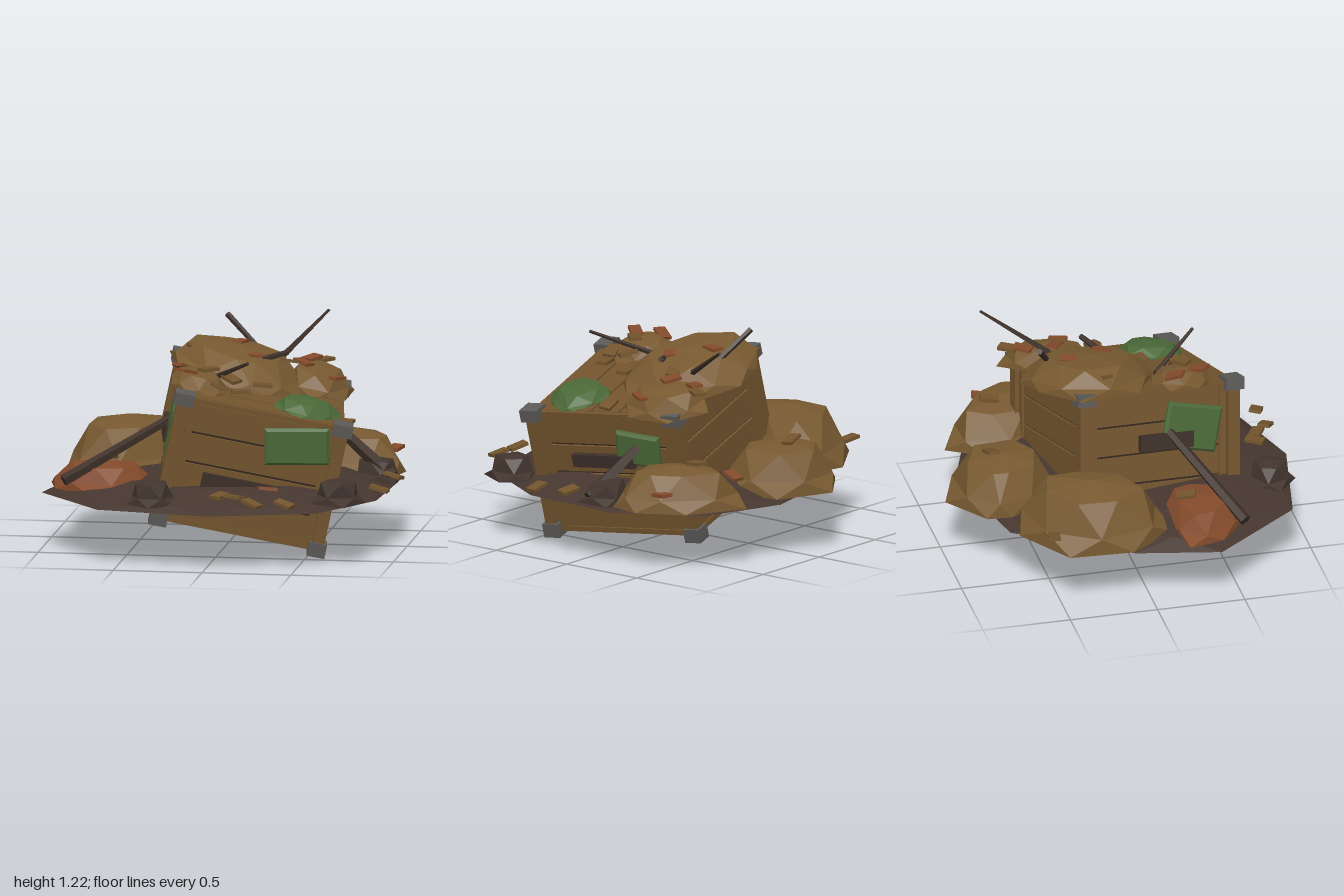
import * as THREE from 'three';

const mat = (name, color, side = THREE.FrontSide) => {
  const m = new THREE.MeshStandardMaterial({ color, flatShading: true, side });
  m.name = name;
  return m;
};

// Faceted open dome: outline in x, z shrunk ring by ring, odd rings shifted half a step
function domeGeometry(outline, rings, baseY, height) {
  const n = outline.length, pos = [], idx = [];
  const cx = outline.reduce((s, p) => s + p[0], 0) / n;
  const cz = outline.reduce((s, p) => s + p[1], 0) / n;
  rings.forEach(([s, t], r) => outline.forEach(([x, z], i) => {
    const [qx, qz] = outline[(i + r % 2) % n];
    const px = cx + ((x + qx) / 2 - cx) * s, pz = cz + ((z + qz) / 2 - cz) * s;
    pos.push(px, baseY(px, pz) + height * t, pz);
  }));
  for (let r = 0; r < rings.length - 1; r++) {
    for (let i = 0; i < n; i++) {
      const a = r * n + i, b = r * n + (i + 1) % n, j = i + r % 2;
      const c = (r + 1) * n + j % n, d = (r + 1) * n + (j + 1) % n;
      idx.push(a, b, c);
      if (rings[r + 1][0] > 0) idx.push(b, d, c);
    }
  }
  const g = new THREE.BufferGeometry();
  g.setAttribute('position', new THREE.Float32BufferAttribute(pos, 3));
  g.setIndex(idx);
  g.computeVertexNormals();
  return g;
}

export function createModel() {
  const M = {
    wood: mat('plank wood', 0x72542d),
    heap: mat('leaf heap brown', 0x785a31, THREE.DoubleSide),
    rust: mat('rust orange', 0x834a2b, THREE.DoubleSide),
    green: mat('moss green', 0x4b6938, THREE.DoubleSide),
    dirt: mat('dark dirt', 0x46372f, THREE.DoubleSide),
    stone: mat('clod brown', 0x42342e, THREE.DoubleSide),
    stick: mat('dark stick', 0x3d2f28),
    metal: mat('bracket grey', 0x5b5a57),
    core: mat('gap dark', 0x30261d),
  };
  const model = new THREE.Group();
  const add = (name, geo, material, parent = model, x = 0, y = 0, z = 0) => {
    const mesh = new THREE.Mesh(geo, material);
    mesh.name = name;
    mesh.position.set(x, y, z);
    parent.add(mesh);
    return mesh;
  };
  const box = (name, w, h, d, material, parent, x, y, z) =>
    add(name, new THREE.BoxGeometry(w, h, d), material, parent, x, y, z);

  // Dirt patch
  const patchOutline = [[-1, .37], [-.61, .87], [.03, .99], [.61, .81], [.88, .35], [.91, -.25],
    [.65, -.7], [.18, -.87], [-.5, -.72], [-.9, -.1]];
  add('dirtPatch', domeGeometry(patchOutline, [[1, 0], [.9, .5], [.64, .95], [0, 1.05]], () => .32, .1), M.dirt);

  // Tilted crate: local half sizes
  const crate = new THREE.Group();
  crate.name = 'crate';
  crate.position.set(.127, .53, .09);
  crate.rotation.set(.09, .165, -.22);
  model.add(crate);
  const hx = .45, hy = .35, hz = .45;
  box('crateCore', .87, .7, .87, M.core, crate, 0, -.008, 0);

  // Planks on the four walls and the lid
  for (let i = 0; i < 4; i++) {
    const y = -.2595 + i * .17;
    for (const s of [-1, 1]) {
      box('wallPlank', .86, .155, .03, M.wood, crate, 0, y, s * .437);
      box('wallPlank', .03, .155, .86, M.wood, crate, s * .437, y, 0);
    }
  }
  for (let i = 0; i < 5; i++) box('lidPlank', .86, .03, .164, M.wood, crate, 0, .35, -.352 + i * .176);

  // Corner posts, battens, thin edge rails and brackets
  for (const a of [-1, 1]) {
    for (const b of [-1, 1]) {
      box('cornerPost', .07, .68, .07, M.wood, crate, a * hx, 0, b * hz);
      box('wallBatten', .04, .68, .02, M.wood, crate, a * .39, 0, b * .452);
      box('wallBatten', .02, .68, .04, M.wood, crate, a * .452, 0, b * .39);
      box('edgeRail', .86, .03, .03, M.wood, crate, 0, a * .348, b * .446);
      box('edgeRail', .03, .03, .86, M.wood, crate, a * .446, b * .348, 0);
      box('topBracket', .11, .07, .11, M.metal, crate, a * hx, hy, b * hz);
      box('bottomBracket', .1, .08, .1, M.metal, crate, a * hx, -hy, b * hz);
    }
  }

  // Bevelled green panels, one on each of three walls
  const panel = (w, h, x, y, z, ry, tilt) => {
    const s = new THREE.Shape();
    s.moveTo(-w / 2, -h / 2).lineTo(w / 2, -h / 2).lineTo(w / 2, h / 2).lineTo(-w / 2, h / 2);
    const geo = new THREE.ExtrudeGeometry(s, { depth: .02, bevelSize: .015, bevelThickness: .015, bevelSegments: 1 });
    add('greenPanel', geo, M.green, crate, x, y, z).rotation.set(0, ry, tilt);
  };
  panel(.33, .18, .22, .205, .45, 0, .2);
  panel(.24, .16, .45, .155, -.19, Math.PI / 2, -.14);
  panel(.3, .23, -.45, .12, .2, -Math.PI / 2, -.19);

  // Dark loose boards against the walls
  box('darkBoard', .52, .08, .03, M.stick, crate, 0, -.085, .46);
  box('darkBoard', .04, .075, .39, M.stick, crate, .465, .08, .04);
  box('darkBoard', .04, .09, .32, M.stick, crate, -.48, .06, .04);

  // Heaps on the ground and on the lid
  const ground = () => .35;
  const lid = (x, z) => .875 - .22 * (x - .2) - .05 * (z - .11);
  const rings = [[1, 0], [.98, .3], [.62, .86], [0, 1]];
  const heap = (name, m, base, height, outline) =>
    add(name, domeGeometry(outline, rings, base, height), m);
  heap('leftHeap', M.heap, ground, .31,
    [[-.94, -.12], [-.75, .16], [-.46, .02], [-.31, -.3], [-.32, -.62], [-.6, -.69], [-.92, -.48]]);
  heap('backHeap', M.heap, ground, .26,
    [[-.38, -.68], [-.26, -.42], [0, -.36], [.23, -.5], [.2, -.86], [-.12, -1], [-.37, -.82]]);
  heap('rightHeap', M.heap, ground, .23,
    [[.35, -.66], [.37, -.35], [.63, -.18], [.89, -.24], [.93, -.43], [.79, -.68], [.47, -.86]]);
  heap('rustHeap', M.rust, ground, .155,
    [[-.97, .2], [-.92, .4], [-.7, .59], [-.45, .53], [-.37, .3], [-.42, .15], [-.7, .13]]);
  heap('lidHeap', M.heap, lid, .17,
    [[-.38, -.28], [-.27, .08], [.06, .24], [.24, .21], [.4, .05], [.38, -.38], [.1, -.52], [-.12, -.46]]);
  heap('lidRightHeap', M.heap, lid, .13,
    [[.29, -.4], [.29, -.1], [.47, .01], [.63, -.14], [.64, -.43], [.45, -.57]]);
  heap('lidFrontHeap', M.heap, lid, .1,
    [[-.29, .25], [-.26, .42], [-.16, .52], [-.02, .53], [.06, .38], [0, .2], [-.15, .18]]);
  heap('mossHeap', M.green, lid, .08,
    [[.3, .42], [.46, .51], [.57, .47], [.68, .32], [.66, .2], [.47, .12], [.33, .22]]);
  heap('clod', M.stone, ground, .14,
    [[.56, .68], [.76, .78], [.86, .59], [.75, .47], [.61, .52]]);
  heap('clod', M.stone, ground, .14,
    [[-.45, .84], [-.31, .96], [-.18, .85], [-.21, .69], [-.41, .71]]);
  heap('clod', M.stone, ground, .13,
    [[.64, -.18], [.76, -.06], [.93, -.02], [.94, -.23], [.8, -.27]]);

  // Sticks from point to point
  const up = new THREE.Vector3(0, 1, 0);
  const stick = (name, a, b, r, tip, sides = 5) => {
    const p = new THREE.Vector3(...a), d = new THREE.Vector3(...b).sub(p);
    const m = add(name, new THREE.CylinderGeometry(tip, r, d.length(), sides), M.stick);
    m.position.copy(p).addScaledVector(d, .5);
    m.quaternion.setFromUnitVectors(up, d.normalize());
  };
  stick('leaningBeam', [-.85, .42, .54], [-.3, .73, .24], .035, .026);
  stick('leaningStrut', [.9, .38, -.08], [.6, .62, -.18], .042, .03, 4);
  stick('twig', [.25, 1, -.3], [.46, 1.21, -.66], .018, .008);
  stick('twig', [.12, 1.03, -.35], [-.08, 1.21, -.45], .015, .018);
  stick('twig', [-.05, .97, .22], [.18, 1.1, .49], .016, .009);
  stick('twig', [.18, 1.03, -.04], [.31, 1.06, -.12], .018, .016);

  // Scattered chips: x, y, z, turn
  const chips = (name, m, list) => list.forEach(([x, y, z, turn], i) => {
    const c = box(name, .105, .018, .068, m, model, x, y, z);
    c.rotation.set(.15 * Math.sin(i * 2.1), turn, -.15 + .15 * Math.cos(i * 1.7));
  });
  chips('rustChip', M.rust, [[.02, 1.09, -.26, 1.3], [.14, 1.05, -.05, .6], [.38, .985, -.25, -.6],
    [.57, .91, -.19, 1.1], [.4, .98, -.43, 1], [-.22, 1.04, .29, 1.1], [-.17, 1.04, .44, .9],
    [.85, .46, -.56, 1.3], [.31, .42, .62, .3], [.23, .45, -.57, 1.4]]);
  chips('woodChip', M.wood, [[-.06, 1.04, .36, .8], [.06, .98, .31, -.7], [.02, .96, .46, .4],
    [.22, .93, .2, .2], [.57, .59, -.58, 1.4], [.93, .41, .04, -.3], [.89, .38, .3, -.1],
    [.07, .41, .82, 1.1], [.16, .41, .85, -.5], [.27, .39, .93, -.5], [.45, .39, .92, -.4],
    [-.64, .51, .25, 1.3], [-.83, .45, -.55, -.2], [-.09, .62, -.73, .1], [.3, 1, -.2, .5],
    [.46, .96, -.5, 1], [-.2, 1.08, -.12, .4], [.6, .84, .02, .2], [.13, .93, .42, .2]]);

  return model;
}
